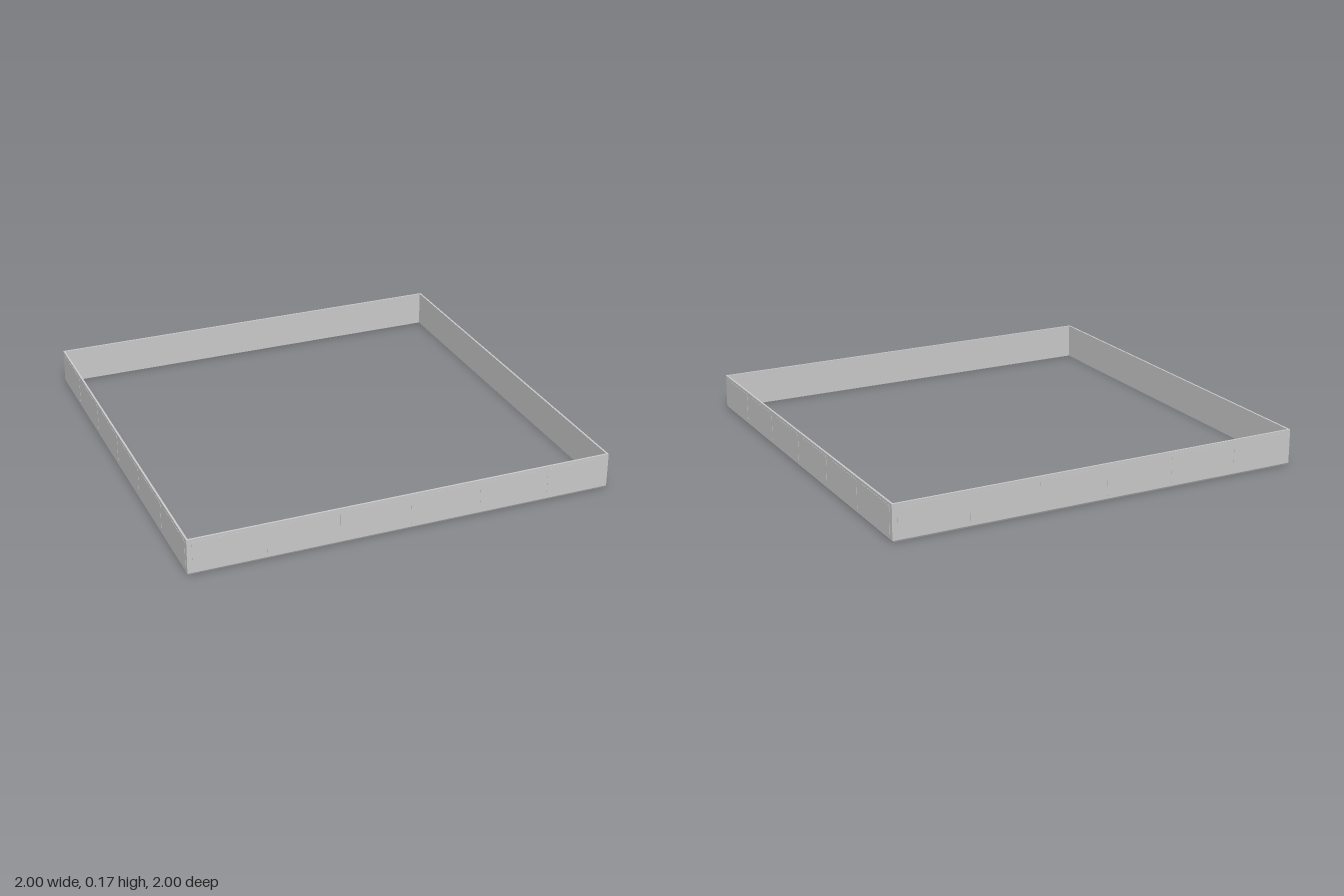
import * as THREE from 'three';

const HALF = 1, HEIGHT = 0.17, WALL = 0.01, CHAMFER = 0.004, RELIEF = 0.001;

// Rectangle with rounded corners, centred on x
function roundedRect(w, y0, y1, r) {
  const s = new THREE.Shape(), h = w / 2;
  s.moveTo(-h + r, y0);
  s.lineTo(h - r, y0);
  s.absarc(h - r, y0 + r, r, -Math.PI / 2, 0);
  s.absarc(h - r, y1 - r, r, 0, Math.PI / 2);
  s.absarc(-h + r, y1 - r, r, Math.PI / 2, Math.PI);
  s.absarc(-h + r, y0 + r, r, Math.PI, Math.PI * 1.5);
  return s;
}

export function createModel() {
  const group = new THREE.Group();
  group.name = 'squareFrame';
  const material = new THREE.MeshStandardMaterial({ color: 0xcccccc, flatShading: true });

  // Mitred wall section swept round four corners, lower outer edge chamfered
  const outer = HALF - RELIEF, inner = HALF - WALL;
  const profile = [
    [inner, 0], [outer - CHAMFER, 0], [outer, CHAMFER * 2],
    [outer, HEIGHT], [inner, HEIGHT], [inner, 0],
  ].map(([d, y]) => new THREE.Vector2(d * Math.SQRT2, y));
  const wallGeometry = new THREE.LatheGeometry(profile, 4, Math.PI / 4).toNonIndexed();
  wallGeometry.computeVertexNormals();
  const walls = new THREE.Mesh(wallGeometry, material);
  walls.name = 'frameWalls';
  group.add(walls);

  // Six very shallow rounded panels along each outer face
  const panelGeometry = new THREE.ExtrudeGeometry(roundedRect(0.285, 0.015, 0.157, 0.015), {
    depth: RELIEF * 2, bevelEnabled: false, curveSegments: 4,
  });
  for (let side = 0; side < 4; side++) {
    const face = new THREE.Group();
    face.name = 'sidePanels' + (side + 1);
    for (let i = 0; i < 6; i++) {
      const panel = new THREE.Mesh(panelGeometry, material);
      panel.name = 'panel' + (i + 1);
      panel.position.set((i - 2.5) / 3, 0, HALF - RELIEF * 2);
      face.add(panel);
    }
    face.rotation.y = side * Math.PI / 2;
    group.add(face);
  }
  return group;
}
